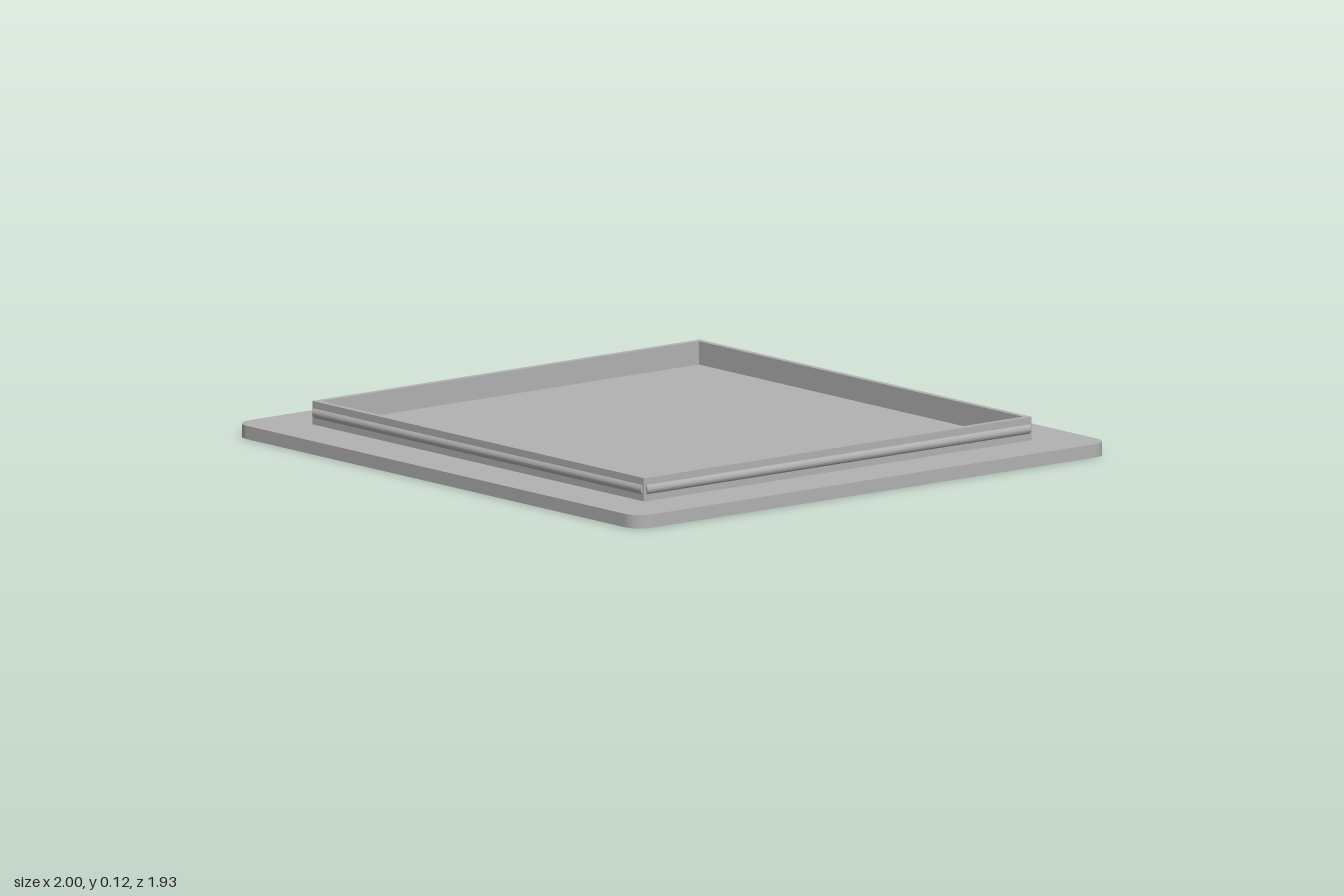
import * as THREE from 'three';

const BASE_H = 0.043, TOP = 0.118;
const WALL_X = 0.823, WALL_Z = 0.792, WALL_T = 0.02;

// Rectangle outline with rounded corners, centred on the origin
function roundedRect(path, hx, hz, r) {
  const corners = [[hx - r, hz - r], [-hx + r, hz - r], [-hx + r, -hz + r], [hx - r, -hz + r]];
  path.moveTo(hx, hz - r);
  corners.forEach(([x, z], i) => path.absarc(x, z, r, i * Math.PI / 2, (i + 1) * Math.PI / 2, false));
  path.closePath();
  return path;
}

// Extrude a plan outline upward from y0 to y1
function extrudeUp(shape, y0, y1) {
  const geo = new THREE.ExtrudeGeometry(shape, { depth: y1 - y0, bevelEnabled: false, curveSegments: 10 });
  return geo.rotateX(-Math.PI / 2).translate(0, y0, 0);
}

export function createModel() {
  const group = new THREE.Group();
  const grey = new THREE.MeshStandardMaterial({ color: 0xb2b2b2 });
  grey.name = 'plain grey';
  const add = (name, geo) => {
    const mesh = new THREE.Mesh(geo, grey);
    mesh.name = name;
    group.add(mesh);
    return mesh;
  };

  // Flat plate with rounded corners
  add('basePlate', extrudeUp(roundedRect(new THREE.Shape(), 1, 0.967, 0.065), 0, BASE_H));

  // Upright rim standing on the plate
  const rim = roundedRect(new THREE.Shape(), WALL_X, WALL_Z, 0.004);
  rim.holes.push(roundedRect(new THREE.Path(), WALL_X - WALL_T, WALL_Z - WALL_T, 0.002));
  add('rimWall', extrudeUp(rim, BASE_H, TOP));

  // Shallow rounded snap ridge along each outer side of the rim
  const profile = new THREE.Shape();
  profile.moveTo(0, -0.015);
  profile.quadraticCurveTo(0.014, 0, 0, 0.015);
  profile.closePath();
  for (let i = 0; i < 4; i++) {
    const [out, half] = i % 2 ? [WALL_Z, WALL_X] : [WALL_X, WALL_Z];
    const length = 2 * (half - 0.008);
    const geo = new THREE.ExtrudeGeometry(profile, { depth: length, bevelEnabled: false, curveSegments: 6 });
    geo.translate(out, 0.08, -length / 2).rotateY(i * Math.PI / 2);
    add('snapRidge', geo);
  }
  return group;
}
